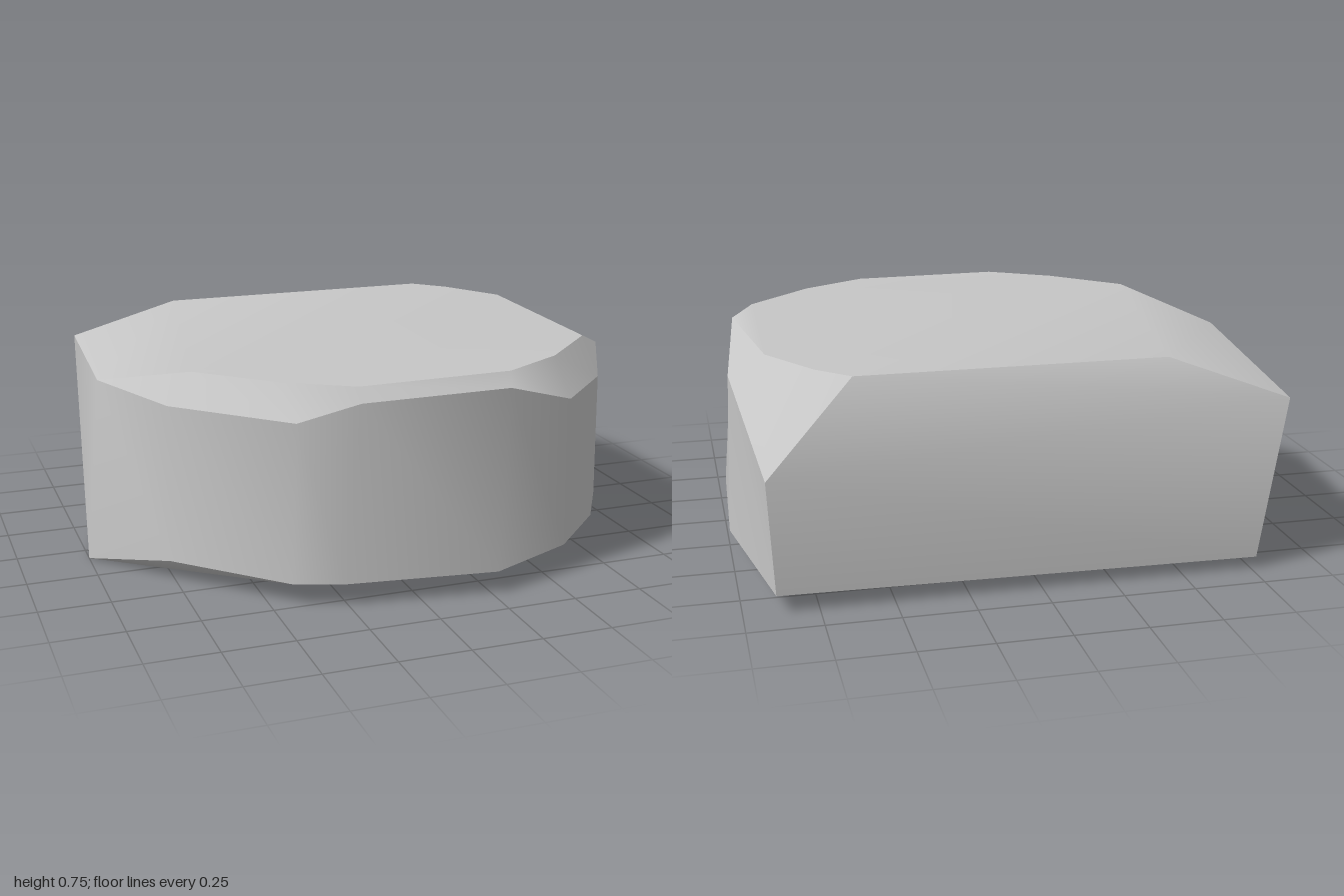
import * as THREE from 'three';
import { mergeVertices, toCreasedNormals } from 'three/addons/utils/BufferGeometryUtils.js';

// Outline of the underside, tilted slightly down to the right-hand corner
const base = [
  [-0.77, 0.04, -0.875], [0.89, 0.06, -0.875], [1, 0.075, -0.3], [0.98, 0.08, 0.25],
  [0.84, 0.08, 0.48], [0.6, 0.08, 0.72], [0.27, 0.08, 0.87], [-0.26, 0.08, 0.8],
  [-0.43, 0.08, 0.74], [-0.77, 0.08, 0.4], [-1, 0, 0.08],
];

// Uneven rim where the walls turn into the chipped bevels
const rim = [
  [-0.86, 0.61, -0.875], [0.91, 0.45, -0.875], [0.98, 0.65, -0.31], [0.92, 0.71, 0.31],
  [0.84, 0.625, 0.48], [0.6, 0.625, 0.72], [0.33, 0.71, 0.8], [-0.2, 0.7, 0.78],
  [-0.41, 0.64, 0.735], [-0.76, 0.64, 0.39], [-0.93, 0.655, 0.03],
];

// Worn flat top
const crown = [
  [-0.46, 0.75, -0.77], [0.61, 0.75, -0.77], [0.72, 0.75, -0.66], [0.86, 0.75, -0.43],
  [0.84, 0.75, 0.35], [0.6, 0.75, 0.59], [0.36, 0.75, 0.73], [-0.2, 0.75, 0.75],
  [-0.43, 0.75, 0.61], [-0.67, 0.75, 0.38],
];

// Fan-triangulated polygons, corners counter-clockwise from outside
function polygons(faces) {
  const positions = [];
  for (const face of faces) {
    for (let i = 1; i < face.length - 1; i++) {
      positions.push(...face[0], ...face[i], ...face[i + 1]);
    }
  }
  const geometry = new THREE.BufferGeometry();
  geometry.setAttribute('position', new THREE.Float32BufferAttribute(positions, 3));
  return geometry;
}

// One smooth patch; its border stays sharp
function patch(faces) {
  const geometry = mergeVertices(polygons(faces));
  geometry.computeVertexNormals();
  return geometry;
}

export function createModel() {
  const group = new THREE.Group();
  group.name = 'rock';

  const stone = new THREE.MeshStandardMaterial({ color: 0xc6c6c6 });
  stone.name = 'grey stone';

  function add(name, geometry) {
    const mesh = new THREE.Mesh(geometry, stone);
    mesh.name = name;
    group.add(mesh);
  }

  // Side walls, with the back one rolling softly into its bevel
  const wallFaces = base.map((corner, i) => {
    const next = (i + 1) % base.length;
    return [corner, rim[i], rim[next], base[next]];
  });
  wallFaces.push([rim[0], crown[0], crown[1], rim[1]]);
  add('walls', toCreasedNormals(polygons(wallFaces), THREE.MathUtils.degToRad(60)));

  // Chipped bevel around the front
  const frontFaces = [[rim[3], crown[4], rim[4]], [rim[9], crown[9], rim[10]]];
  for (let i = 4; i < 9; i++) frontFaces.push([rim[i], crown[i], crown[i + 1], rim[i + 1]]);
  add('frontBevel', patch(frontFaces));

  // Bevel along the left side and back corner
  add('sideBevel', patch([
    [rim[1], crown[1], crown[2]],
    [rim[1], crown[2], crown[3], rim[2]],
    [rim[2], crown[3], rim[3]],
  ]));

  // Top, sloping gently away on the right
  add('top', patch([
    [...crown].reverse(),
    [rim[10], crown[9], crown[0], rim[0]],
    [crown[4], rim[3], crown[3]],
  ]));

  // Underside, fanned out from its lowest corner
  add('underside', patch([[base[10], ...base.slice(0, 10)]]));

  return group;
}
